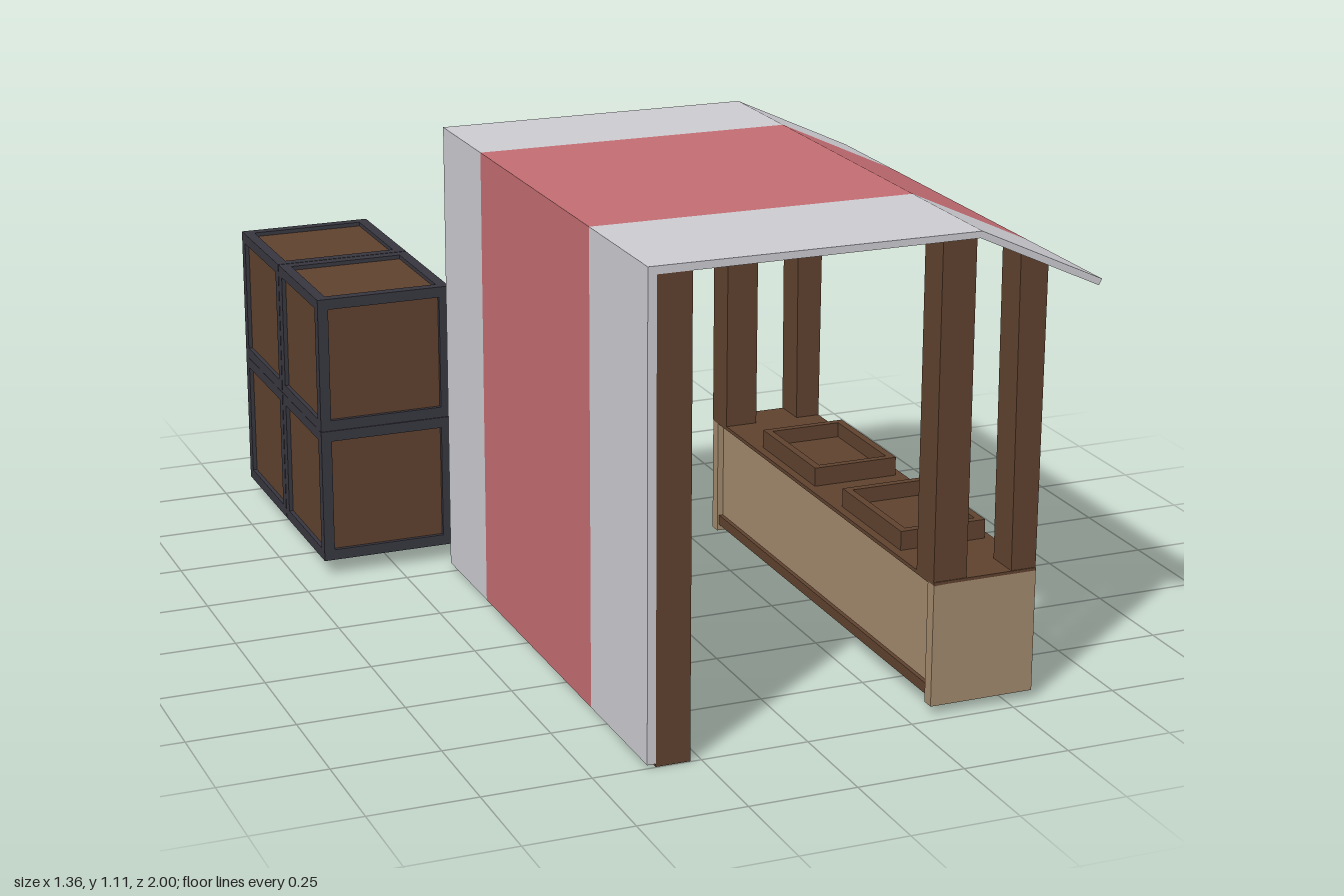
import * as THREE from 'three';

const mat = (name, color) => {
  const m = new THREE.MeshStandardMaterial({ color });
  m.name = name;
  return m;
};

export function createModel() {
  const cloth = mat('pale cloth', 0xcbcad0);
  const red = mat('red cloth', 0xc26c71);
  const wood = mat('dark wood', 0x5e412e);
  const tan = mat('tan wood', 0xa1886c);
  const iron = mat('dark frame', 0x37363f);
  const model = new THREE.Group();

  // Box given by its minimum and maximum corners
  const box = (parent, name, m, [x0, y0, z0], [x1, y1, z1]) => {
    const mesh = new THREE.Mesh(new THREE.BoxGeometry(x1 - x0, y1 - y0, z1 - z0), m);
    mesh.position.set((x0 + x1) / 2, (y0 + y1) / 2, (z0 + z1) / 2);
    mesh.name = name;
    parent.add(mesh);
  };
  // Outline in x and y, extruded from z0 to z1
  const slab = (parent, name, m, points, z0, z1) => {
    const shape = new THREE.Shape(points.map(([x, y]) => new THREE.Vector2(x, y)));
    const mesh = new THREE.Mesh(new THREE.ExtrudeGeometry(shape, { depth: z1 - z0, bevelEnabled: false }), m);
    mesh.position.z = z0;
    mesh.name = name;
    parent.add(mesh);
  };
  const group = (name) => {
    const g = new THREE.Group();
    g.name = name;
    model.add(g);
    return g;
  };

  // Striped awning: back wall, flat roof and sloping front lip
  const awning = group('awning');
  const profile = [
    [-0.375, 0.008], [-0.355, 0.008], [-0.355, 1.09], [0.38, 1.09],
    [0.67, 0.955], [0.677, 0.969], [0.385, 1.105], [-0.375, 1.108],
  ];
  slab(awning, 'paleStripeBack', cloth, profile, -0.285, -0.02);
  slab(awning, 'redStripe', red, profile, -0.02, 0.67);
  slab(awning, 'paleStripeFront', cloth, profile, 0.67, 1);

  // Posts: one wide rear post and two slim counter posts at each end
  const posts = group('posts');
  for (const [a, b, c, d] of [[0.84, 0.998, 0.885, 0.968], [-0.282, -0.122, -0.252, -0.167]]) {
    box(posts, 'rearPost', wood, [-0.355, 0, a], [-0.275, 1.09, b]);
    slab(posts, 'innerPost', wood, [[0.31, 0.305], [0.39, 0.305], [0.39, 1.086], [0.38, 1.09], [0.31, 1.09]], c, d);
    slab(posts, 'outerPost', wood, [[0.5, 0.305], [0.56, 0.305], [0.563, 1.005], [0.496, 1.036]], c, d);
  }

  // Counter: hollow tan box, open below, with a dark top and an inner shelf
  const counter = group('counter');
  box(counter, 'frontPanel', tan, [0.54, 0.02, -0.25], [0.56, 0.305, 0.97]);
  box(counter, 'backPanel', tan, [0.325, 0.06, -0.22], [0.345, 0.305, 0.94]);
  box(counter, 'endPanel', tan, [0.31, 0.02, -0.25], [0.54, 0.305, -0.22]);
  box(counter, 'endPanel', tan, [0.31, 0.02, 0.94], [0.54, 0.305, 0.97]);
  box(counter, 'counterTop', wood, [0.31, 0.303, -0.25], [0.56, 0.312, 0.97]);
  box(counter, 'shelf', wood, [0.345, 0.14, -0.22], [0.54, 0.16, 0.94]);
  box(counter, 'baseRail', wood, [0.315, 0.035, -0.22], [0.365, 0.06, 0.94]);

  // Two open trays on the counter
  for (const [z0, z1] of [[0.01, 0.31], [0.46, 0.765]]) {
    const tray = group('tray');
    const t = 0.018, x0 = 0.33, x1 = 0.54, y0 = 0.311, y1 = 0.357;
    box(tray, 'trayFloor', wood, [x0, y0, z0], [x1, y0 + 0.01, z1]);
    box(tray, 'traySide', wood, [x0, y0, z0], [x0 + t, y1, z1]);
    box(tray, 'traySide', wood, [x1 - t, y0, z0], [x1, y1, z1]);
    box(tray, 'trayEnd', wood, [x0 + t, y0, z0], [x1 - t, y1, z0 + t]);
    box(tray, 'trayEnd', wood, [x0 + t, y0, z1 - t], [x1 - t, y1, z1]);
  }

  // Four framed crates, two wide and two high
  const size = 0.331, bar = 0.026;
  for (const z of [-0.834, -0.5]) for (const y of [0.204, 0.536]) {
    const crate = group('crate');
    crate.position.set(-0.516, y, z);
    const h = size / 2, p = h - 0.01, e = h - bar;
    box(crate, 'cratePanels', wood, [-p, -p, -p], [p, p, p]);
    for (const u of [-1, 1]) for (const v of [-1, 1]) {
      const [u0, u1] = u < 0 ? [-h, -e] : [e, h];
      const [v0, v1] = v < 0 ? [-h, -e] : [e, h];
      box(crate, 'frameBar', iron, [u0, -h, v0], [u1, h, v1]);
      box(crate, 'frameBar', iron, [-e, u0, v0], [e, u1, v1]);
      box(crate, 'frameBar', iron, [u0, v0, -e], [u1, v1, e]);
    }
  }
  return model;
}
